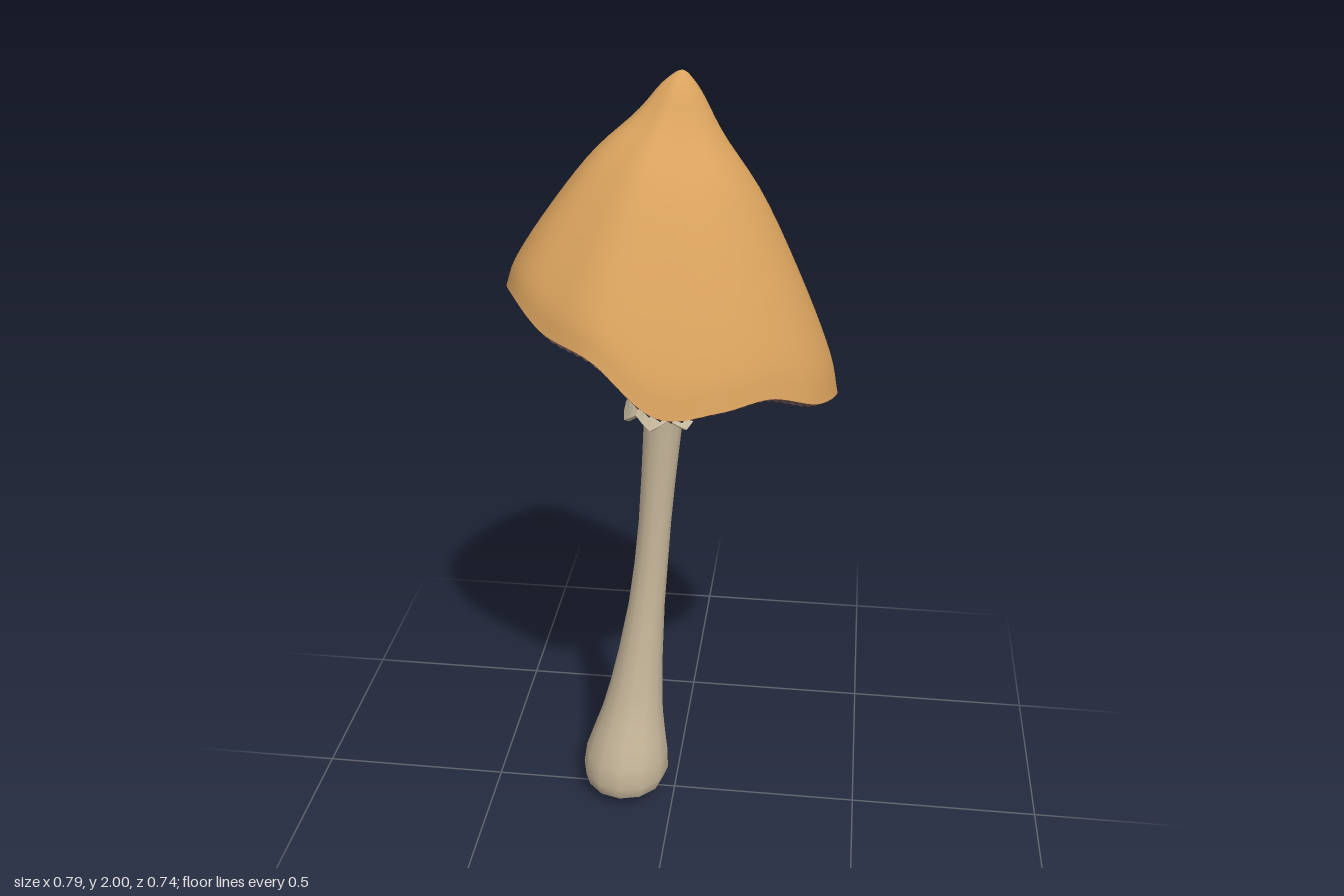
import * as THREE from 'three';

const mat = (name, color, opts = {}) => {
  const m = new THREE.MeshStandardMaterial({ color, ...opts });
  m.name = name;
  return m;
};

// Skin over closed rings; point(row, angle, column) runs from the top row down
function ringSurface(rows, cols, point) {
  const pos = [], idx = [];
  for (let i = 0; i < rows; i++) {
    for (let j = 0; j < cols; j++) pos.push(...point(i, (j / cols) * Math.PI * 2, j));
  }
  for (let i = 0; i < rows - 1; i++) {
    for (let j = 0; j < cols; j++) {
      const k = (j + 1) % cols;
      const a = i * cols + j, c = i * cols + k, b = a + cols, d = c + cols;
      idx.push(a, c, b, b, c, d);
    }
  }
  const g = new THREE.BufferGeometry();
  g.setAttribute('position', new THREE.Float32BufferAttribute(pos, 3));
  g.setIndex(idx);
  g.computeVertexNormals();
  return g;
}

const spline = (pts, closed) => new THREE.CatmullRomCurve3(
  pts.map(([a, b]) => new THREE.Vector3(a, b, 0)), closed, 'catmullrom', 0.5);

// Wavy tilted rim: [radius, height] every 22.5 degrees from +x towards +z
const rimCurve = spline([
  [0.395, 1.245], [0.38, 1.28], [0.353, 1.335], [0.355, 1.33],
  [0.368, 1.33], [0.372, 1.445], [0.375, 1.475], [0.388, 1.52],
  [0.398, 1.49], [0.4, 1.435], [0.402, 1.385], [0.392, 1.4],
  [0.372, 1.405], [0.372, 1.3], [0.382, 1.245], [0.392, 1.19]], true);
const rim = (angle) => {
  const p = rimCurve.getPoint(angle / (Math.PI * 2));
  return { x: p.x * Math.cos(angle), y: p.y, z: p.x * Math.sin(angle) };
};

// Cap slope: [fraction of radius, fraction of drop]
const capProfile = spline([[0, 0], [0.04, 0.012], [0.12, 0.065], [0.25, 0.185],
  [0.5, 0.37], [0.76, 0.64], [0.94, 0.865], [1, 1]], false);

export function createModel() {
  const group = new THREE.Group();
  const capMat = mat('cap ochre', 0xdaa35e);
  const gillMat = mat('gill brown', 0x735453, { flatShading: true, side: THREE.DoubleSide });
  const fleshMat = mat('inner flesh pink', 0x926670, { side: THREE.DoubleSide });
  const stemMat = mat('stem beige', 0xc9b99c);
  const ringMat = mat('ring cream', 0xcdbfa3, { flatShading: true, side: THREE.DoubleSide });
  const add = (name, geometry, material) => {
    const m = new THREE.Mesh(geometry, material);
    m.name = name;
    group.add(m);
    return m;
  };

  // Cap: one slope stretched from the tip to every point of the rim
  const capRows = 30, tip = { x: 0.015, y: 2, z: -0.02 };
  add('cap', ringSurface(capRows, 96, (i, a) => {
    const p = capProfile.getPoint(i / (capRows - 1)), r = rim(a);
    return [tip.x + (r.x - tip.x) * p.x, tip.y + (r.y - tip.y) * p.y,
      tip.z + (r.z - tip.z) * p.x];
  }), capMat);

  // Gills: pleated underside, [fraction of radius, pleat depth]
  const gillRows = [[1, 0], [0.96, 0.016], [0.8, 0.026], [0.5, 0.026], [0.3, 0.022], [0.2, 0.01]];
  const hub = { x: -0.02, y: 1.37, z: -0.01 };
  add('gills', ringSurface(gillRows.length, 180, (i, a, j) => {
    const [s, depth] = gillRows[i], r = rim(a);
    return [hub.x + (r.x - hub.x) * s,
      hub.y + (r.y - hub.y) * s + (j % 2 ? 1.3 : -0.9) * depth,
      hub.z + (r.z - hub.z) * s];
  }), gillMat);

  // Flesh disc where the stem meets the gills
  const flesh = add('innerFlesh', new THREE.CylinderGeometry(0.11, 0.11, 0.01, 32), fleshMat);
  flesh.position.set(hub.x, 1.385, hub.z);
  flesh.rotation.z = -0.35;

  // Stem sections from top to bottom: [height, centre x, centre z, radius]
  const stem = [
    [1.44, -0.015, -0.012, 0.075], [1.33, -0.022, -0.012, 0.066], [1.22, -0.028, -0.014, 0.053],
    [1.12, -0.032, -0.016, 0.048], [0.98, -0.043, -0.017, 0.044], [0.85, -0.053, -0.017, 0.042],
    [0.72, -0.064, -0.016, 0.044], [0.6, -0.076, -0.014, 0.048], [0.45, -0.093, -0.008, 0.06],
    [0.35, -0.105, -0.002, 0.071], [0.27, -0.115, 0.004, 0.083], [0.2, -0.124, 0.01, 0.099],
    [0.14, -0.131, 0.014, 0.113], [0.08, -0.135, 0.015, 0.118], [0.042, -0.137, 0.015, 0.106],
    [0.036, -0.138, 0.015, 0.098], [0, -0.14, 0.015, 0]];
  add('stem', ringSurface(stem.length, 12, (i, a) => {
    const [y, x, z, r] = stem[i];
    return [x + r * Math.cos(a), y, z + r * Math.sin(a)];
  }), stemMat);

  // Ring: short scalloped skirt, [height, radius, wave]
  const skirt = [[1.25, 0.05, 0], [1.235, 0.066, 0], [1.2, 0.088, 0.004], [1.172, 0.1, 0.014],
    [1.166, 0.088, 0.014], [1.19, 0.05, 0]];
  add('stemRing', ringSurface(skirt.length, 28, (i, a) => {
    const [y, r, wave] = skirt[i], w = Math.cos(7 * a);
    return [-0.027 + (r + wave * 0.3 * w) * Math.cos(a), y - wave * w,
      -0.013 + (r + wave * 0.3 * w) * Math.sin(a)];
  }), ringMat);

  return group;
}
